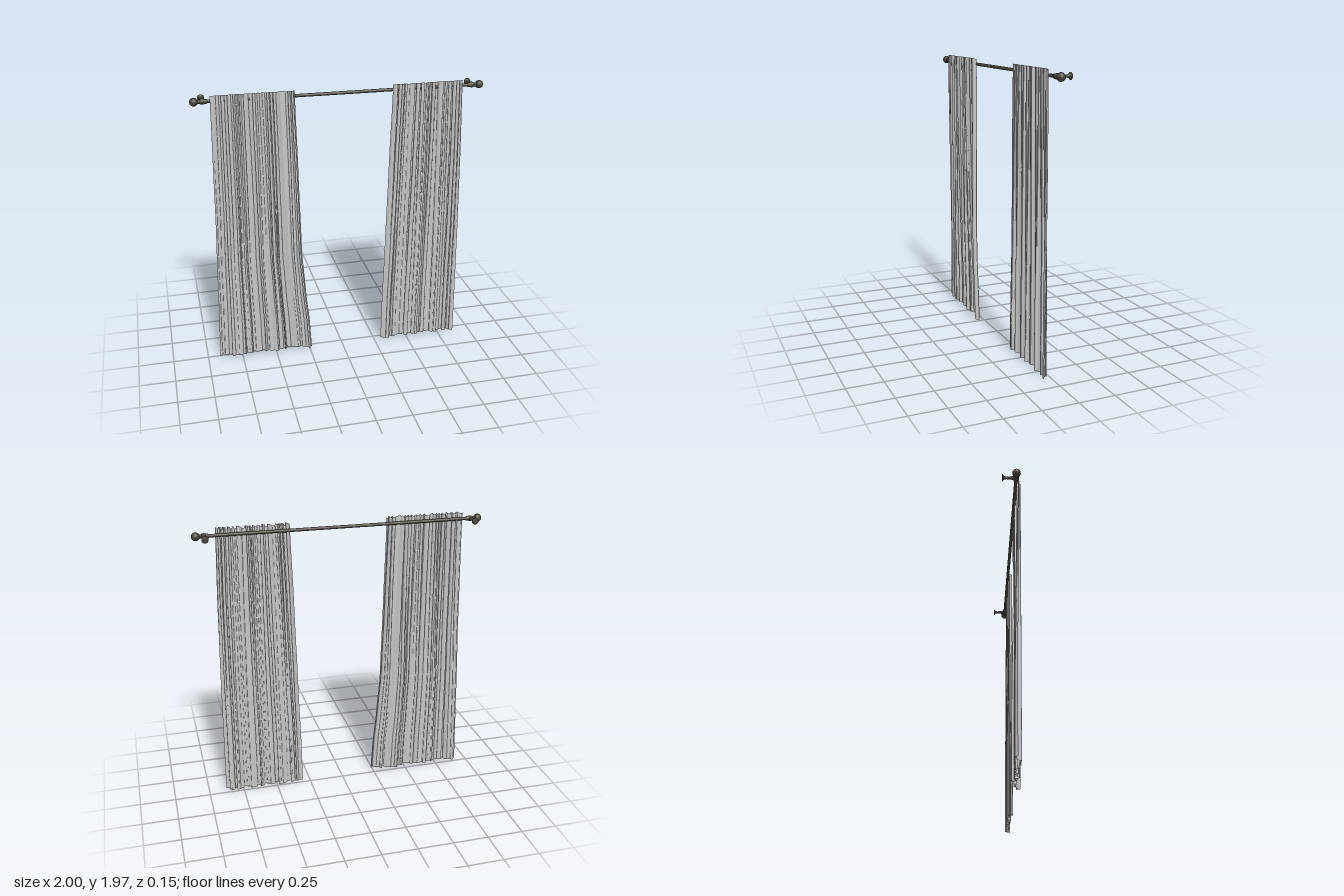
import * as THREE from 'three';

const ROD_Y = 1.93, ROD_Z = 0.015;

// Piecewise-linear lookup through [t, value] pairs
function lookup(pairs, t) {
  for (let i = 1; i < pairs.length; i++) {
    const [t0, v0] = pairs[i - 1], [t1, v1] = pairs[i];
    if (t <= t1) return v0 + (v1 - v0) * THREE.MathUtils.smoothstep(t, t0, t1) * 0.4 + (v1 - v0) * 0.6 * (t - t0) / (t1 - t0);
  }
  return pairs[pairs.length - 1][1];
}

// One hanging cloth panel: tight gathers at the rod relax into broad folds at the hem
function curtain({ left, right, top, bottom, pleats, seed, hem }, material) {
  const cols = 260, rows = 40;
  const geo = new THREE.PlaneGeometry(1, 1, cols, rows);
  const pos = geo.attributes.position;
  for (let i = 0; i < pos.count; i++) {
    const u = pos.getX(i) + 0.5;
    const v = 0.5 - pos.getY(i); // 0 at the heading, 1 at the hem
    const loose = THREE.MathUtils.smoothstep(v, 0.0, 0.9);
    const edge = Math.min(1, Math.min(u, 1 - u) * 25);

    // Uneven pleat spacing that drifts slightly on the way down
    const warp = u + 0.022 * Math.sin(u * 17 + seed) + 0.012 * Math.sin(u * 31 + seed * 2 + v * 0.8);
    const a = warp * pleats * Math.PI * 2;
    const strength = 0.7 + 0.3 * Math.sin(u * 23 + seed * 3);
    const fine = Math.sin(a) * strength;

    // Broad folds and the overall sway of the hem
    const broad = Math.sin(warp * pleats * 0.5 * Math.PI * 2 + seed);
    const sway = lookup(hem, u);
    const zTop = 0.036 + 0.016 * fine;
    const zLow = sway + 0.011 * fine + 0.009 * broad;
    const z = THREE.MathUtils.lerp(zTop, zLow, loose);

    // Sideways shift makes the folds lean over themselves
    const shift = edge * (0.008 * Math.sin(2 * a + seed) * strength + 0.007 * loose * Math.cos(a * 0.5));
    const x = THREE.MathUtils.lerp(lookup(left, v), lookup(right, v), u) + shift;

    const y = THREE.MathUtils.lerp(top + 0.004 * Math.sin(a) * (1 - v), bottom + 0.003 * (1 + broad) * 0.5, v);
    pos.setXYZ(i, x, y, z);
  }
  geo.computeVertexNormals();
  return new THREE.Mesh(geo, material);
}

function lathe(points, material, segments = 24) {
  return new THREE.Mesh(new THREE.LatheGeometry(points.map(([r, h]) => new THREE.Vector2(r, h)), segments), material);
}

export function createModel() {
  const model = new THREE.Group();
  model.name = 'curtainsOnRod';

  const fabric = new THREE.MeshStandardMaterial({ color: 0xc6c6c6, side: THREE.DoubleSide });
  fabric.name = 'greyFabric';
  const metal = new THREE.MeshStandardMaterial({ color: 0x47443a });
  metal.name = 'darkBronze';

  // Rod
  const rod = new THREE.Mesh(new THREE.CylinderGeometry(0.011, 0.011, 1.9, 20), metal);
  rod.name = 'rod';
  rod.rotation.z = Math.PI / 2;
  rod.position.set(0, ROD_Y, ROD_Z);
  model.add(rod);

  for (const side of [-1, 1]) {
    const name = side > 0 ? 'left' : 'right';

    // Ball finial
    const ball = new THREE.Mesh(new THREE.SphereGeometry(0.028, 24, 16), metal);
    ball.name = name + 'FinialBall';
    ball.position.set(side * 0.972, ROD_Y, ROD_Z);
    model.add(ball);

    // Turned collar where the bracket holds the rod
    const collar = lathe([[0.011, 0.885], [0.015, 0.89], [0.017, 0.905], [0.019, 0.918],
      [0.017, 0.928], [0.012, 0.935], [0.014, 0.94], [0.014, 0.946], [0.01, 0.95]], metal);
    collar.name = name + 'Collar';
    collar.rotation.z = -side * Math.PI / 2;
    collar.position.set(0, ROD_Y, ROD_Z);
    model.add(collar);

    // Wall bracket: flared post ending in a round plate
    const bracket = lathe([[0, -0.02], [0.014, -0.016], [0.019, -0.004], [0.018, 0.008], [0.013, 0.02], [0.01, 0.04],
      [0.009, 0.065], [0.012, 0.078], [0.018, 0.085], [0.023, 0.087], [0.023, 0.093], [0, 0.093]], metal);
    bracket.name = name + 'Bracket';
    bracket.rotation.x = -Math.PI / 2;
    bracket.position.set(side * 0.92, ROD_Y, ROD_Z);
    model.add(bracket);
  }

  // Wide panel on the -x side, its inner edge sweeping outward at the hem
  const wide = curtain({
    left: [[0, -0.87], [0.4, -0.882], [0.7, -0.897], [1, -0.912]],
    right: [[0, -0.318], [0.3, -0.305], [0.6, -0.293], [0.75, -0.272], [0.9, -0.245], [1, -0.235]],
    top: 1.97, bottom: 0.01, pleats: 17, seed: 1.3,
    hem: [[0, 0.008], [0.1, 0.018], [0.18, 0.048], [0.3, 0.03], [0.45, 0.02], [0.6, 0.042], [0.75, 0.015], [0.87, 0.028], [1, 0.06]],
  }, fabric);
  wide.name = 'rightCurtain';
  model.add(wide);

  // Narrower panel on the +x side
  const narrow = curtain({
    left: [[0, 0.352], [0.3, 0.335], [0.6, 0.32], [0.85, 0.306], [1, 0.302]],
    right: [[0, 0.842], [0.3, 0.858], [0.6, 0.868], [1, 0.876]],
    top: 1.97, bottom: 0.0, pleats: 15, seed: 4.1,
    hem: [[0, 0.042], [0.15, 0.028], [0.3, 0.02], [0.45, 0.04], [0.58, 0.018], [0.72, 0.042], [0.85, 0.022], [1, 0.04]],
  }, fabric);
  narrow.name = 'leftCurtain';
  model.add(narrow);

  return model;
}
